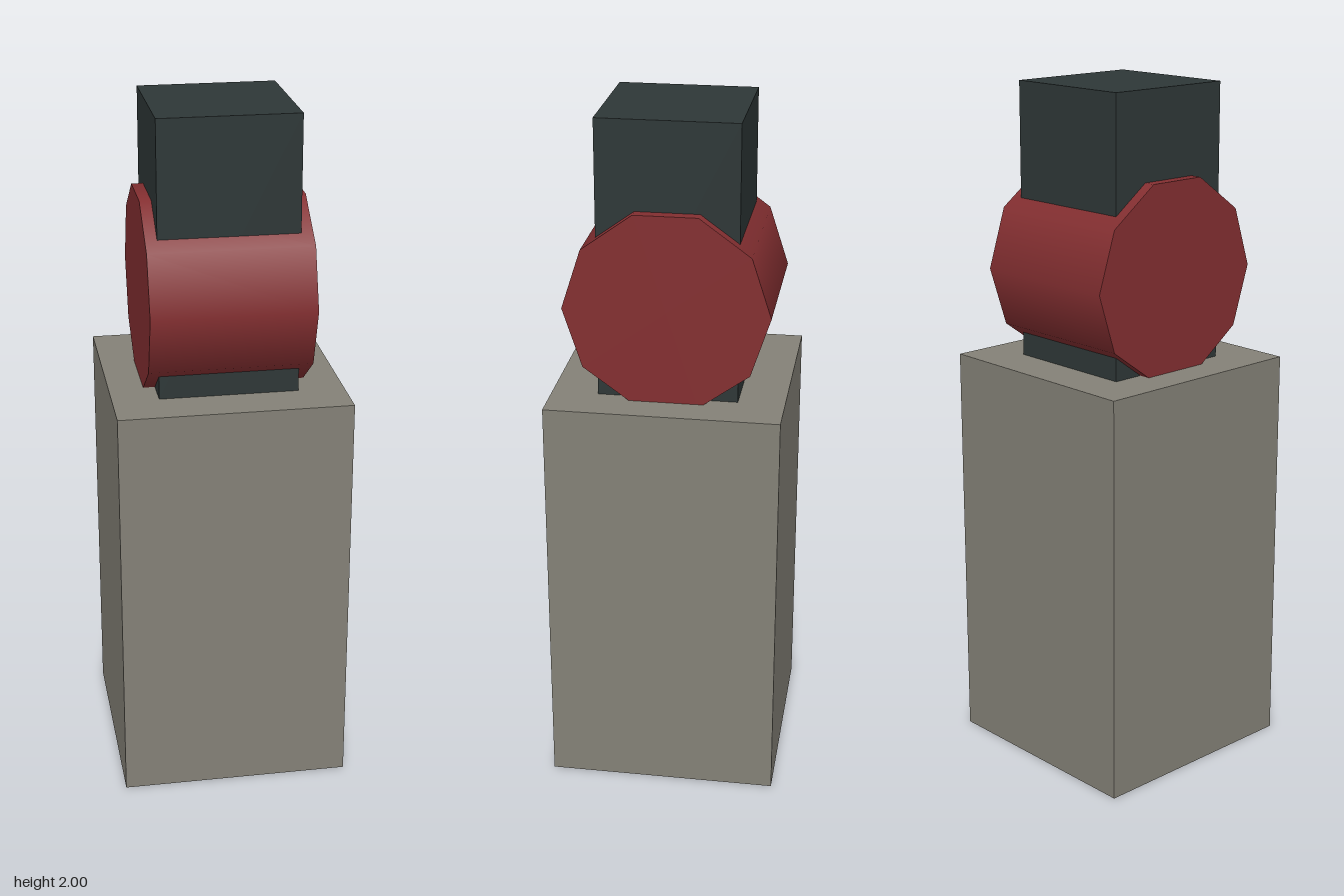
import * as THREE from 'three';

function material(name, color) {
  const m = new THREE.MeshStandardMaterial({ color });
  m.name = name;
  return m;
}

export function createModel() {
  const stone = material('warm grey', 0x848177);
  const red = material('dark red', 0x842f31);
  const slate = material('dark slate', 0x2e3737);

  const model = new THREE.Group();
  const add = (name, geometry, mat, y) => {
    const mesh = new THREE.Mesh(geometry, mat);
    mesh.name = name;
    mesh.position.y = y;
    model.add(mesh);
    return mesh;
  };

  // Tall square pedestal
  add('pedestal', new THREE.BoxGeometry(0.667, 1.2, 0.667), stone, 0.6);

  // Square post standing on the pedestal
  add('post', new THREE.BoxGeometry(0.4, 0.8, 0.4), slate, 1.6);

  // Ten-sided drum lying across the post, smooth around its side
  const drum = new THREE.CylinderGeometry(0.293, 0.293, 0.467, 10).rotateZ(Math.PI / 2);
  add('drum', drum, red, 1.467);

  return model;
}
